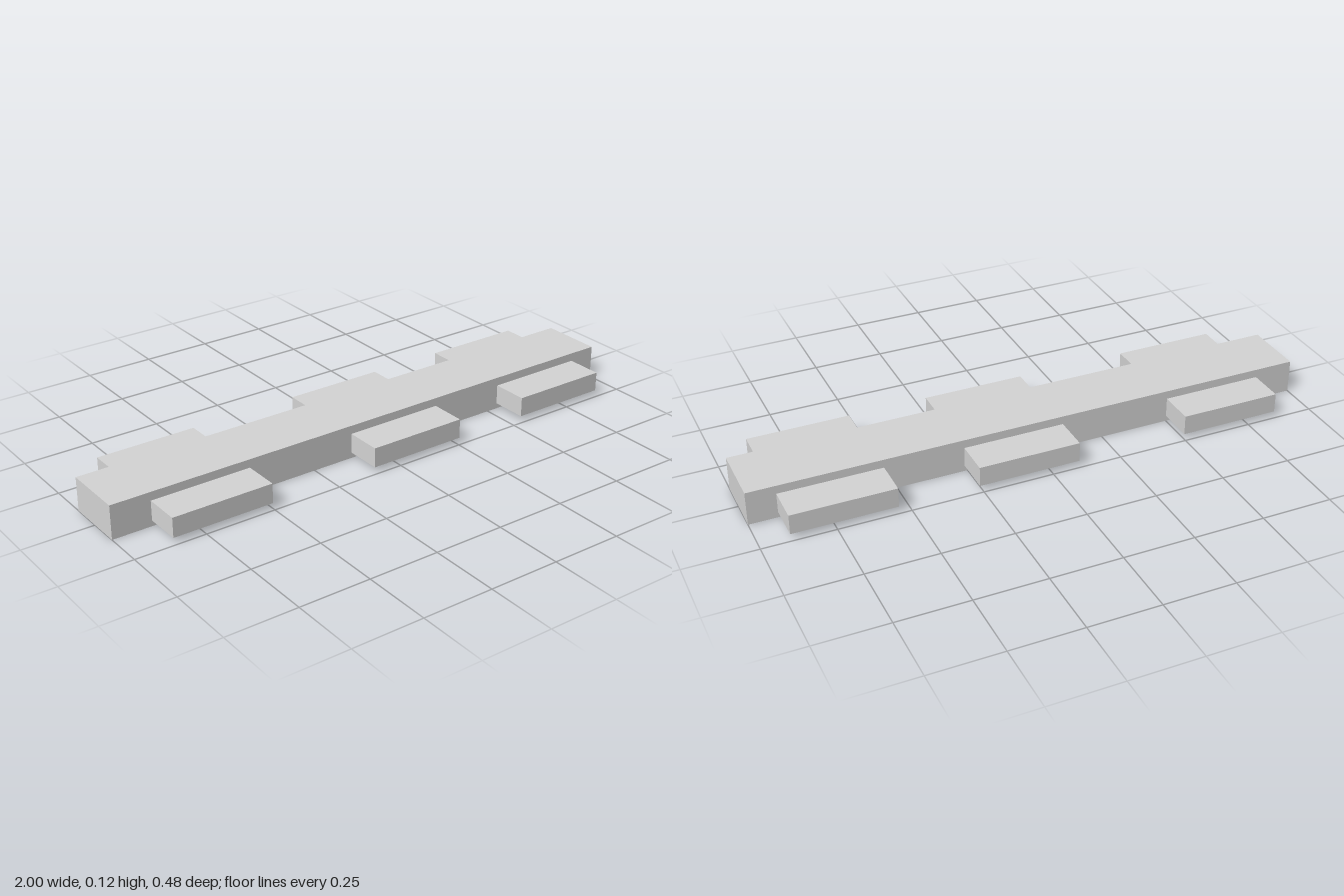
import * as THREE from 'three';

export function createModel() {
  const model = new THREE.Group();
  const lightGrey = new THREE.MeshStandardMaterial({ color: 0xd5d5d5 });
  lightGrey.name = 'light grey';

  const addBox = (name, [w, h, d], [x, y, z]) => {
    const mesh = new THREE.Mesh(new THREE.BoxGeometry(w, h, d), lightGrey);
    mesh.name = name;
    mesh.position.set(x, y, z);
    model.add(mesh);
  };

  // Long central beam
  addBox('beam', [2, 0.12, 0.22], [0, 0.06, 0]);

  // Three pairs of side blocks, mirrored front and back
  const blockCentres = { right: -0.68, middle: 0.08, left: 0.72 };
  for (const [place, x] of Object.entries(blockCentres)) {
    addBox(`${place}FrontBlock`, [0.36, 0.07, 0.13], [x, 0.055, 0.175]);
    addBox(`${place}BackBlock`, [0.36, 0.07, 0.13], [x, 0.055, -0.175]);
  }

  return model;
}
